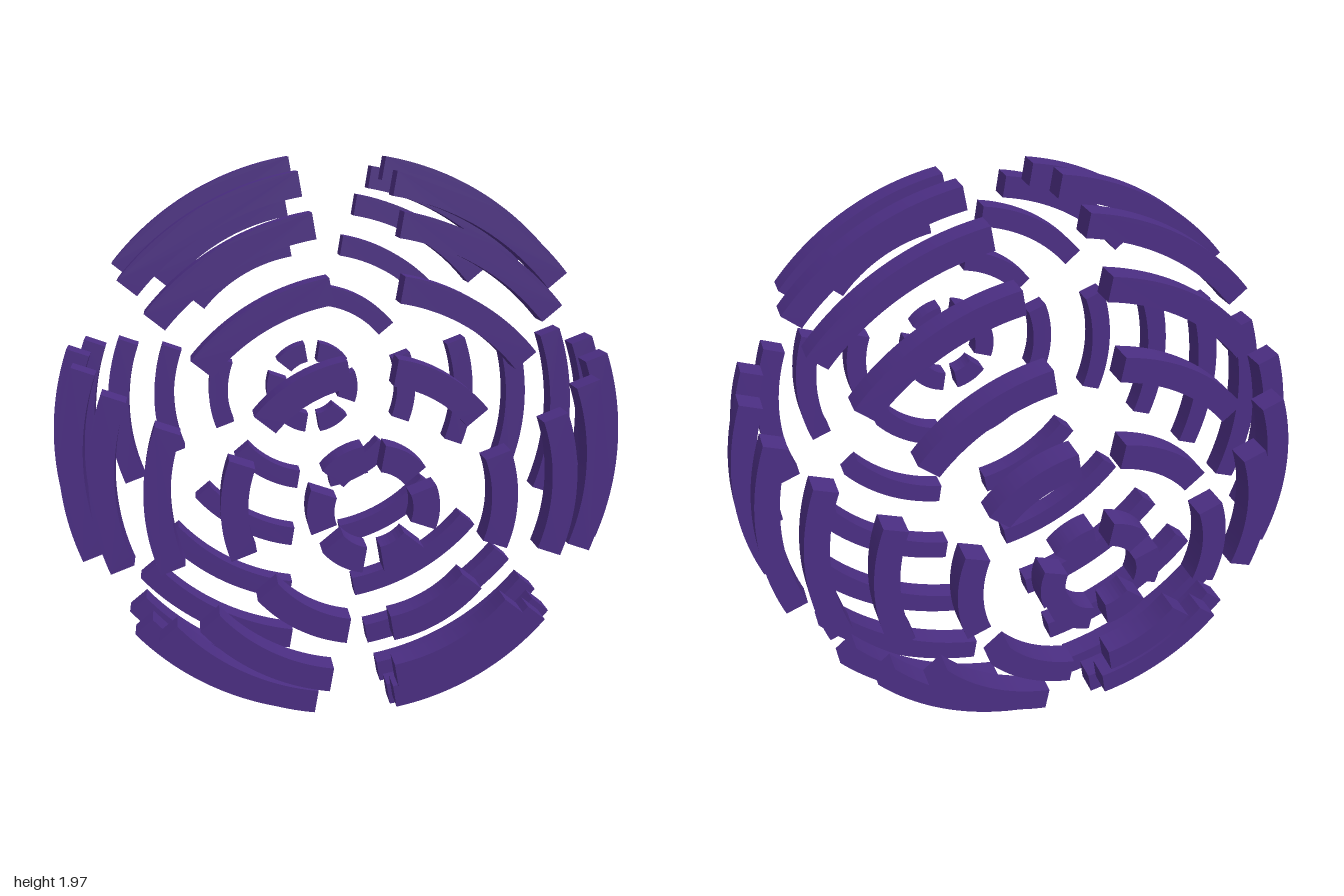
import * as THREE from 'three';
import { toCreasedNormals } from 'three/addons/utils/BufferGeometryUtils.js';

const BAR = 0.08;        // square section of every bar
const HALF_ARC = 0.356;  // half the angle one bar spans
const CENTRE_Y = 0.987;

// Curved bar of square section, centred on the +x axis
function arcBar(outer) {
  const inner = outer - BAR;
  const shape = new THREE.Shape();
  shape.absarc(0, 0, outer, -HALF_ARC, HALF_ARC, false);
  shape.absarc(0, 0, inner, HALF_ARC, -HALF_ARC, true);
  shape.closePath();
  const geometry = new THREE.ExtrudeGeometry(shape, {
    depth: BAR, bevelEnabled: false, curveSegments: 16,
  });
  geometry.translate(0, 0, -BAR / 2);
  return toCreasedNormals(geometry, 0.5);
}

export function createModel() {
  const model = new THREE.Group();
  model.name = 'segmentedSphere';
  const material = new THREE.MeshStandardMaterial({ color: 0x4b2e83 });

  // Outer radius and distance from the middle plane, for each ring
  const rings = [
    [1.0, 0], [0.96, 0.25], [0.845, 0.472],
    [0.67, 0.648], [0.445, 0.76], [0.197, 0.798],
  ];

  // Six bars make one broken ring
  function addRing(name, geometry, z) {
    const ring = new THREE.Group();
    ring.name = name;
    ring.position.set(0, CENTRE_Y, z);
    for (let i = 0; i < 6; i++) {
      const bar = new THREE.Mesh(geometry, material);
      bar.name = `arcBar${i + 1}`;
      bar.rotation.z = (i * Math.PI) / 3;
      ring.add(bar);
    }
    model.add(ring);
  }

  // Middle ring, then mirrored pairs shrinking towards front and back
  rings.forEach(([outer, z], i) => {
    const geometry = arcBar(outer);
    if (z === 0) {
      addRing('middleRing', geometry, 0);
    } else {
      addRing(`frontRing${i}`, geometry, z);
      addRing(`backRing${i}`, geometry, -z);
    }
  });
  return model;
}
